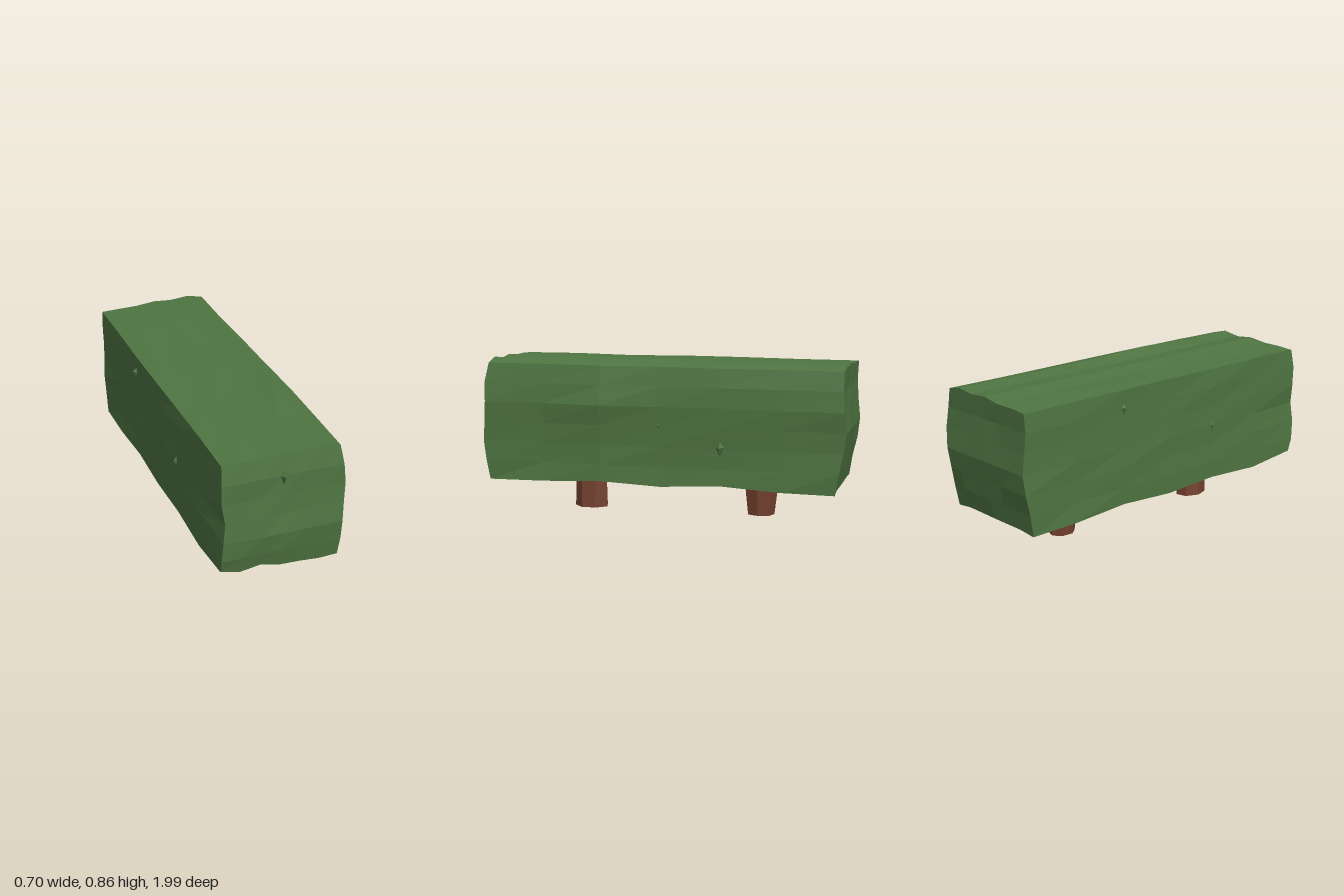
import * as THREE from 'three';

const green = new THREE.MeshStandardMaterial({ color: 0x4f7542, flatShading: true });
const brown = new THREE.MeshStandardMaterial({ color: 0x74422f, flatShading: true });

// Repeatable small wobble for grid point (i, j, k), in -1..1
function wobble(i, j, k, s) {
  const v = Math.sin(i * 12.99 + j * 78.23 + k * 37.72 + s * 9.17) * 43758.55;
  return (v - Math.floor(v)) * 2 - 1;
}

// Clipped foliage: a 6 x 6 x 6 block whose grid points follow uneven outlines
function createFoliage() {
  const N = 6;
  const frontZ = [0.95, 0.972, 0.985, 0.975, 0.97, 0.972, 0.955];
  const backZ = [-0.935, -0.955, -0.975, -0.99, -0.98, -0.972, -0.975];
  const topByX = [0.828, 0.828, 0.829, 0.842, 0.832, 0.845, 0.828];
  const sideBottomByZ = [0.18, 0.186, 0.205, 0.187, 0.205, 0.19, 0.182];
  const frontBottomByX = [0.222, 0.2, 0.215, 0.19, 0.186, 0.178, 0.185];
  const rightX = [0.305, 0.31, 0.308, 0.314, 0.322, 0.314, 0.297];
  const geo = new THREE.BoxGeometry(2, 2, 2, N, N, N);
  const p = geo.attributes.position;
  for (let n = 0; n < p.count; n++) {
    const [i, j, k] = [p.getX(n), p.getY(n), p.getZ(n)].map((v) => Math.round((v + 1) * N / 2));
    let x = -0.328 + i * 0.107, y = 0.185 + j * 0.1075, z = -0.98 + k * 0.325;
    // ends
    if (k === N) z = frontZ[j] + 0.01 * x + 0.003 * wobble(i, j, k, 1);
    if (k === 0) z = backZ[j] + 0.003 * wobble(i, j, k, 1);
    // long sides
    if (i === N) {
      x = rightX[j] + 0.004 * wobble(i, j, k, 2);
      if (k === 4) x += j === 4 ? 0.022 : 0.012;
      if (j === 0 && k > 0 && k < N) x += 0.01;
    }
    if (i === 0) x = -0.326 + 0.004 * wobble(i, j, k, 3) + (k === N && j === 3 ? 0.014 : 0);
    // top
    if (j === N) {
      y = topByX[i] + 0.003 * wobble(i, j, k, 4);
      if (k === 4 && i === 5) y = 0.857;
      if (i === 0 || i === N) y -= 0.004;
    }
    // underside sags along the middle
    if (j === 0) {
      const inner = k > 0 && k < N;
      const sag = inner ? [0, 0.003, 0.028, 0.036, 0.026, 0.005, 0][i] : 0;
      y = (k === N ? frontBottomByX[i] : i % N === 0 ? sideBottomByZ[k] : 0.19) - sag;
    }
    p.setXYZ(n, x, y, z);
  }
  const flat = geo.toNonIndexed();
  flat.computeVertexNormals();
  const mesh = new THREE.Mesh(flat, green);
  mesh.name = 'foliage';
  return mesh;
}

// Pointed leaf: a kite-shaped pyramid standing out along +z
function createLeaf(x, y, z, turn, width, up, down, depth) {
  const geo = new THREE.ConeGeometry(1, 1, 4, 1).rotateX(Math.PI / 2).toNonIndexed();
  const p = geo.attributes.position;
  for (let n = 0; n < p.count; n++) {
    const py = p.getY(n);
    p.setXYZ(n, p.getX(n) * width / 2, py * (py > 0 ? up : down), (p.getZ(n) + 0.5) * (depth + 0.02) - 0.02);
  }
  geo.computeVertexNormals();
  const mesh = new THREE.Mesh(geo, green);
  mesh.name = 'leaf';
  mesh.position.set(x, y, z);
  mesh.rotation.y = turn;
  return mesh;
}

// Short tapered stump
function createTrunk(name, z, topX, bottomX, topZ, bottomZ, turn) {
  const geo = new THREE.CylinderGeometry(1, 1, 0.2, 7, 1).rotateY(turn).toNonIndexed();
  const p = geo.attributes.position;
  for (let n = 0; n < p.count; n++) {
    const top = p.getY(n) > 0;
    p.setX(n, p.getX(n) * (top ? topX : bottomX));
    p.setZ(n, p.getZ(n) * (top ? topZ : bottomZ));
  }
  geo.computeVertexNormals();
  const mesh = new THREE.Mesh(geo, brown);
  mesh.name = name;
  mesh.position.set(-0.004, 0.1, z);
  return mesh;
}

export function createModel() {
  const group = new THREE.Group();
  group.name = 'hedge';
  group.add(createFoliage());

  const q = Math.PI / 2;
  group.add(
    createLeaf(-0.008, 0.722, 0.968, 0, 0.06, 0.05, 0.085, 0.032),
    createLeaf(0.309, 0.41, -0.33, q, 0.062, 0.045, 0.075, 0.038),
    createLeaf(0.312, 0.515, 0, q, 0.04, 0.037, 0.055, 0.018),
    createLeaf(-0.326, 0.73, -0.335, -q, 0.06, 0.045, 0.075, 0.023),
    createLeaf(-0.326, 0.51, 0.31, -q, 0.05, 0.06, 0.075, 0.016),
  );

  group.add(
    createTrunk('frontTrunk', 0.468, 0.064, 0.074, 0.09, 0.095, 0.2),
    createTrunk('backTrunk', -0.493, 0.074, 0.06, 0.1, 0.076, 0.6),
  );
  return group;
}
